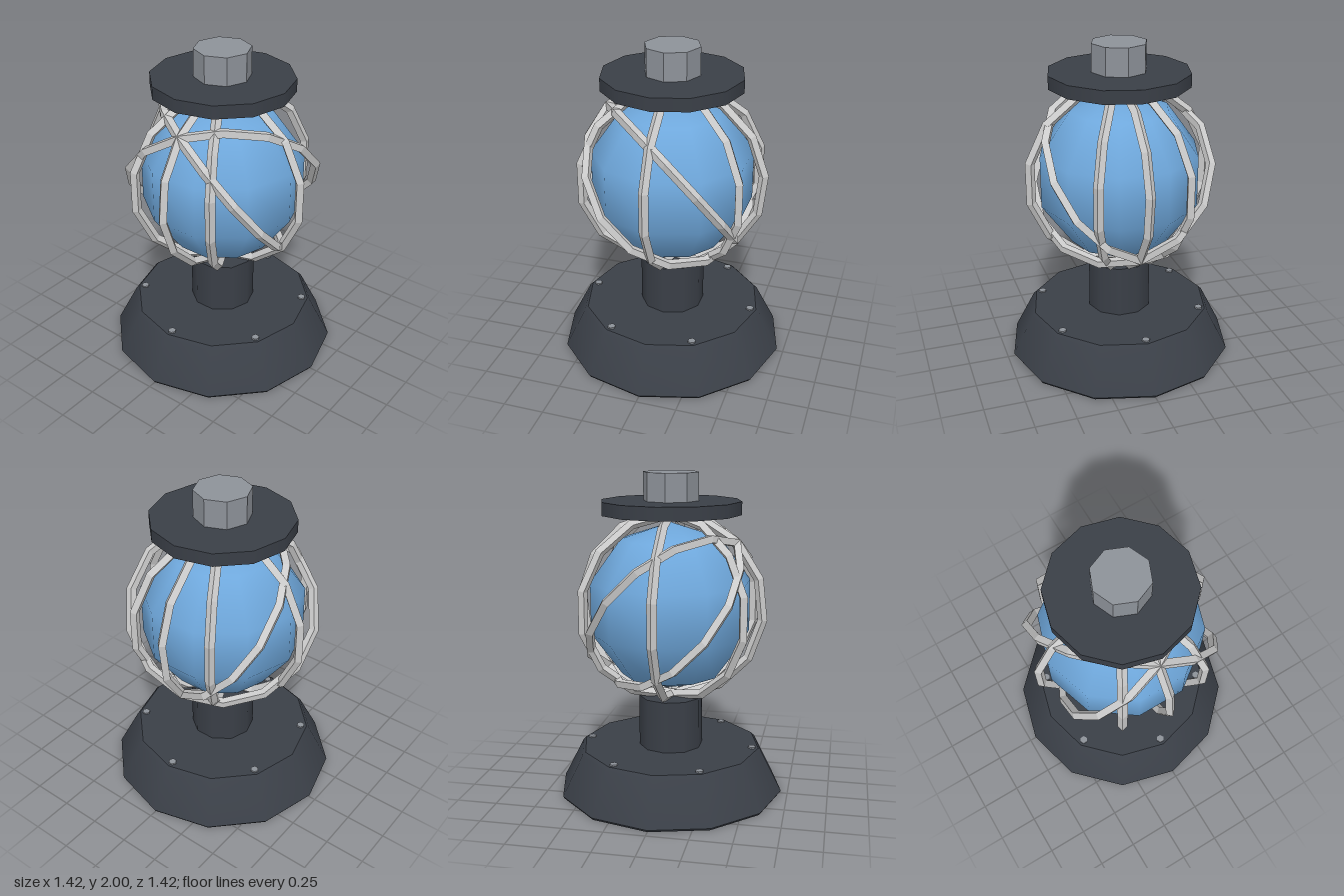
import * as THREE from 'three';
import { toCreasedNormals } from 'three/addons/utils/BufferGeometryUtils.js';

const material = (color, flatShading = false) => new THREE.MeshStandardMaterial({ color, flatShading });

export function createModel() {
  const model = new THREE.Group();
  const dark = material(0x3a3f47);
  const steel = material(0x8d9299, true);
  const bar = material(0xcccccc, true);
  const blue = material(0x6fa8dc);

  const add = (name, geometry, mat, y = 0, parent = model) => {
    const mesh = new THREE.Mesh(geometry, mat);
    mesh.name = name;
    mesh.position.y = y;
    parent.add(mesh);
    return mesh;
  };
  // Upright prism between two heights
  const prism = (name, radius, y0, y1, sides, mat) =>
    add(name, new THREE.CylinderGeometry(radius, radius, y1 - y0, sides), mat, (y0 + y1) / 2);

  // Flared twelve-sided base with softened rims
  const profile = [[0, 0], [0.7, 0], [0.71, 0.015], [0.58, 0.27], [0.56, 0.29], [0, 0.29]]
    .map(([x, y]) => new THREE.Vector2(x, y));
  add('base', toCreasedNormals(new THREE.LatheGeometry(profile, 12), 0.7), dark);

  // Ring of bolts on the base
  for (let i = 0; i < 6; i++) {
    const a = (i * Math.PI) / 3;
    const bolt = prism('bolt', 0.025, 0.27, 0.3, 6, steel);
    bolt.position.x = 0.52 * Math.cos(a);
    bolt.position.z = 0.52 * Math.sin(a);
  }

  prism('stem', 0.2, 0.28, 0.615, 10, dark);
  prism('topPlate', 0.43, 1.75, 1.83, 12, dark);
  prism('topKnob', 0.17, 1.83, 2, 8, steel);

  // Faceted globe
  const globe = new THREE.SphereGeometry(0.52, 10, 5);
  globe.rotateY(Math.PI / 2);
  add('globe', globe, blue, 1.18);

  // Two sets of three hoops: one about the upright axis, one about a tilted axis
  const cage = (name, tilt, turn) => {
    const group = new THREE.Group();
    group.name = name;
    group.position.y = 1.18;
    group.rotation.z = tilt;
    for (let i = 0; i < 3; i++) {
      const hoop = new THREE.TorusGeometry(0.57, 0.03, 4, 14);
      hoop.rotateZ(Math.PI / 2);
      hoop.rotateY(turn + (i * Math.PI) / 3);
      add('hoop', hoop, bar, 0, group);
    }
    model.add(group);
  };
  cage('uprightCage', 0, Math.PI / 2);
  cage('tiltedCage', Math.PI / 4, 0);

  return model;
}
